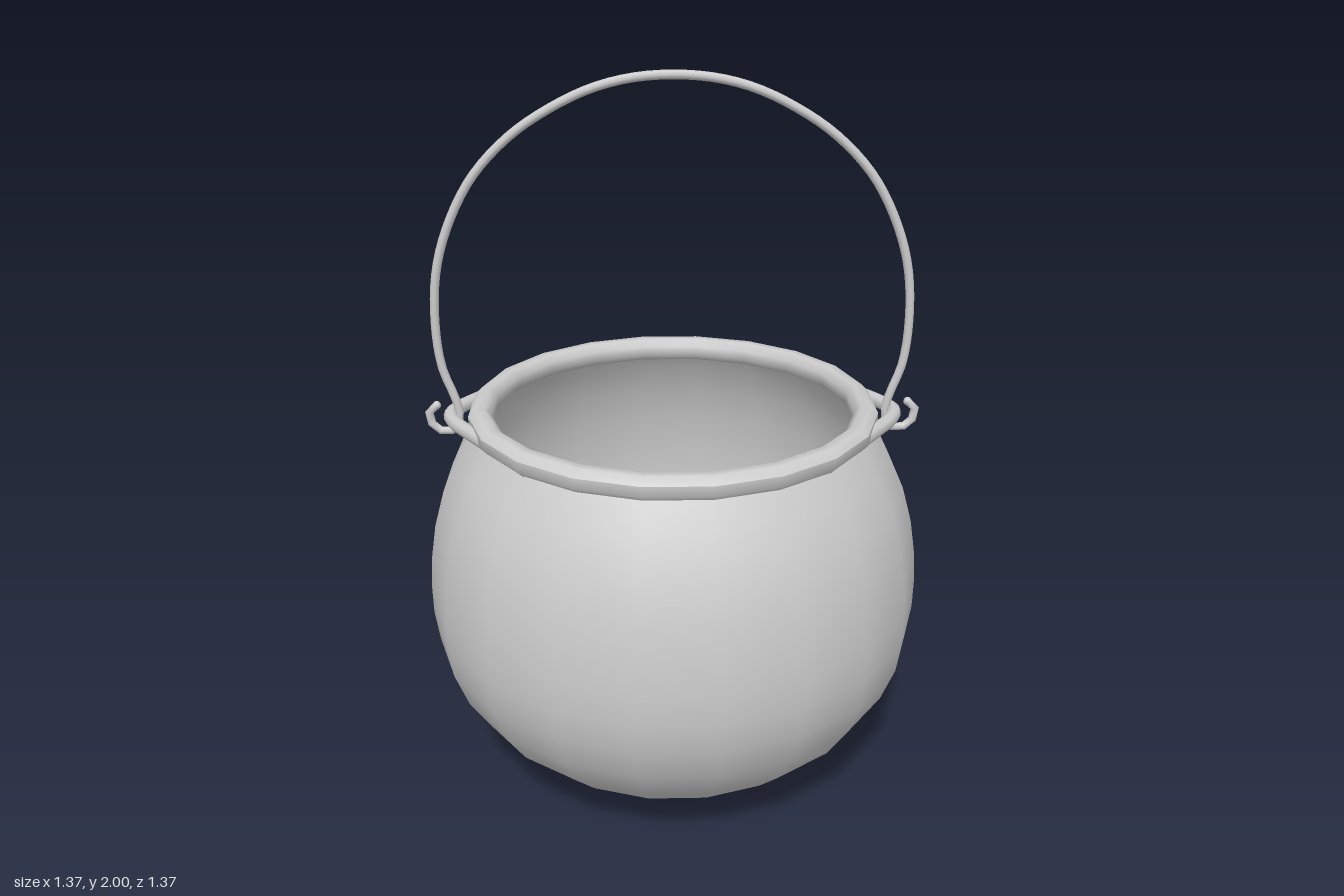
import * as THREE from 'three';

const SIDES = 20;
const FLAT = Math.cos(Math.PI / SIDES); // flat-to-corner ratio of the 20-sided pot

const metal = new THREE.MeshStandardMaterial({ color: 0xcccccc, side: THREE.DoubleSide });

function part(name, geometry) {
  const mesh = new THREE.Mesh(geometry, metal);
  mesh.name = name;
  return mesh;
}

// Revolves [flat radius, height] pairs, with flats facing the four axes
function revolve(name, profile) {
  const points = profile.map(([r, y]) => new THREE.Vector2(r / FLAT, y));
  return part(name, new THREE.LatheGeometry(points, SIDES, Math.PI / SIDES));
}

// Smooth round bar through a list of points
function bar(name, points, radius, segments, sides) {
  const curve = new THREE.CatmullRomCurve3(points.map((p) => new THREE.Vector3(...p)));
  return part(name, new THREE.TubeGeometry(curve, segments, radius, sides));
}

export function createModel() {
  const group = new THREE.Group();

  // Rounded body, with a thin inner wall
  const outer = [
    [0, 0], [0.115, 0.003], [0.255, 0.033], [0.385, 0.085], [0.49, 0.153], [0.575, 0.235],
    [0.635, 0.33], [0.672, 0.43], [0.684, 0.52], [0.685, 0.6], [0.679, 0.69],
    [0.663, 0.79], [0.635, 0.89], [0.59, 0.99], [0.54, 1.07],
  ];
  const inner = outer.slice(1).reverse().map(([r, y]) => [r - 0.03, Math.min(y + 0.03, 1.085)]);
  group.add(revolve('potBody', outer));
  group.add(revolve('potInside', [...inner, [0, 0.03]]));

  // Rolled rim
  const rim = [];
  for (let i = 0; i <= 8; i++) {
    const a = (i / 8) * Math.PI * 2 + Math.PI / 8;
    rim.push([0.524 + 0.034 * Math.cos(a), 1.094 + 0.036 * Math.sin(a)]);
  }
  group.add(revolve('rim', rim));

  // Bent lugs that hold the handle, one on each side
  for (const s of [1, -1]) {
    const half = [[0.37, 0.39], [0.485, 0.225], [0.54, 0.145], [0.595, 0.062]];
    const path = [
      ...half.map(([x, z]) => [s * x, 1.08, z]),
      [s * 0.615, 1.08, 0],
      ...half.reverse().map(([x, z]) => [s * x, 1.08, -z]),
    ];
    group.add(bar(s > 0 ? 'leftLug' : 'rightLug', path, 0.02, 32, 8));
  }

  // Bail handle: hook, upright and half of the arch, then mirrored
  const side = [
    [0.652, 1.108], [0.669, 1.1], [0.674, 1.075], [0.662, 1.045], [0.635, 1.031],
    [0.606, 1.037], [0.59, 1.07], [0.597, 1.12], [0.63, 1.22], [0.64, 1.35],
    [0.627, 1.49], [0.587, 1.615], [0.52, 1.735], [0.424, 1.835], [0.32, 1.905],
    [0.2, 1.96], [0.075, 1.987],
  ];
  const handle = [
    ...side.map(([x, y]) => [x, y, 0]),
    ...side.slice().reverse().map(([x, y]) => [-x, y, 0]),
  ];
  group.add(bar('handle', handle, 0.012, 90, 8));

  // Rounded hook tips
  for (const s of [1, -1]) {
    const tip = part(s > 0 ? 'leftHookTip' : 'rightHookTip', new THREE.SphereGeometry(0.012, 8, 6));
    tip.position.set(s * side[0][0], side[0][1], 0);
    group.add(tip);
  }

  return group;
}
